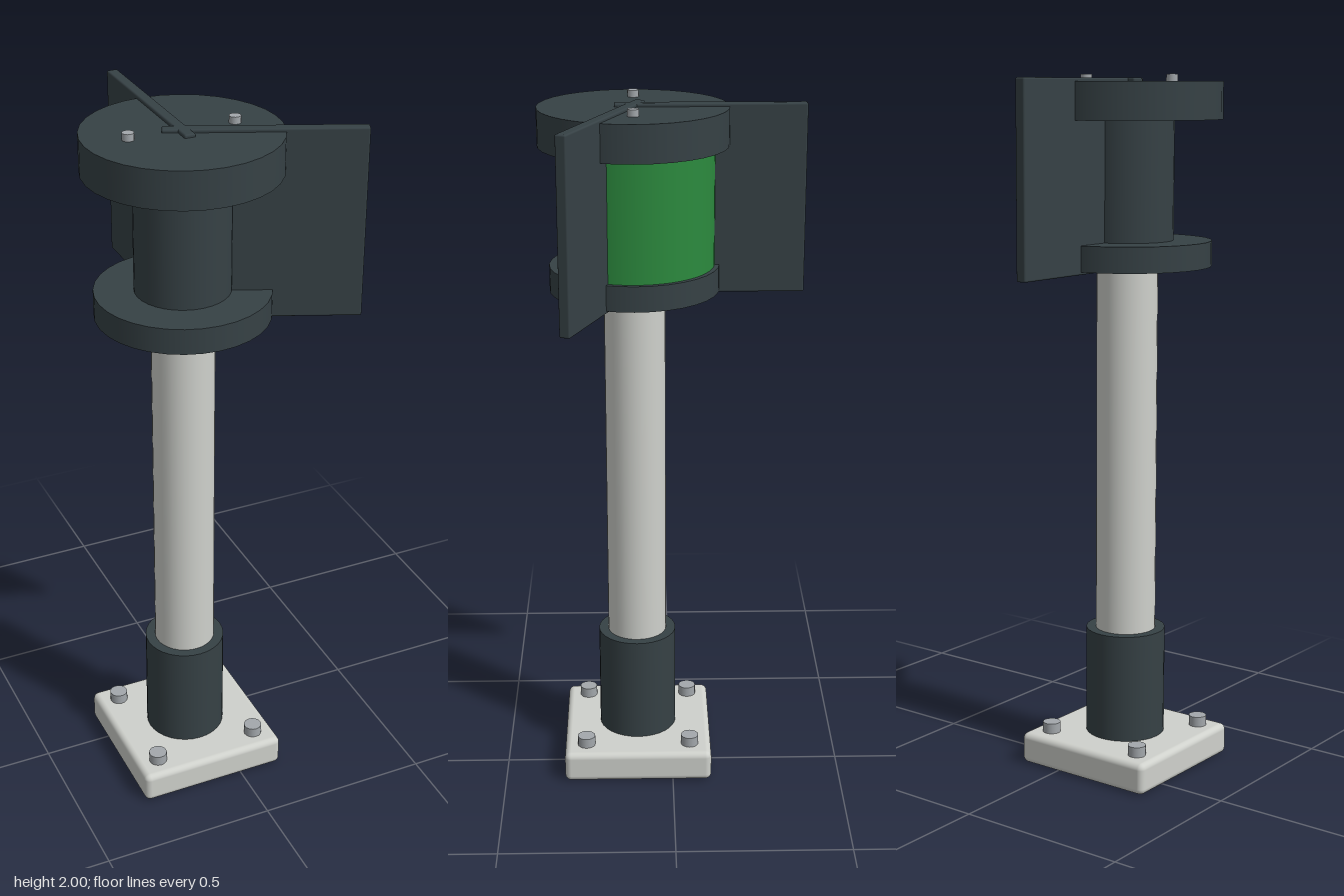
import * as THREE from 'three';
import { RoundedBoxGeometry } from 'three/addons/geometries/RoundedBoxGeometry.js';

const paint = (color) => new THREE.MeshStandardMaterial({ color });

export function createModel() {
  const model = new THREE.Group();
  model.name = 'signalPost';
  // The post axis sits off centre because the fins reach to one side
  const body = new THREE.Group();
  body.name = 'body';
  body.position.set(-0.09, 0, 0.104);
  model.add(body);

  const dark = paint(0x364145);
  const pale = paint(0xcfd1cc);
  const metal = paint(0xa3a8ac);
  const green = paint(0x2c8a3e);

  const add = (name, geometry, material, x, y, z) => {
    const mesh = new THREE.Mesh(geometry, material);
    mesh.name = name;
    mesh.position.set(x, y, z);
    body.add(mesh);
    return mesh;
  };
  // Upright cylinder between two heights
  const drum = (name, r, y0, y1, material, x = 0, z = 0, sides = 32) =>
    add(name, new THREE.CylinderGeometry(r, r, y1 - y0, sides), material, x, (y0 + y1) / 2, z);

  // Foot plate with four bolts
  add('basePlate', new RoundedBoxGeometry(0.438, 0.092, 0.438, 3, 0.018), pale, 0, 0.046, 0);
  for (const x of [-0.155, 0.155])
    for (const z of [-0.155, 0.155]) drum('baseBolt', 0.026, 0.08, 0.122, metal, x, z, 16);

  // Post and its sleeve
  drum('sleeve', 0.115, 0.09, 0.408, dark);
  drum('post', 0.087, 0.4, 1.5, pale);

  // Lantern head
  drum('lowerDisc', 0.238, 1.47, 1.542, dark);
  drum('core', 0.13, 1.53, 1.89, dark);
  drum('topDisc', 0.264, 1.877, 1.981, dark);

  // Green lens filling the sector between the fins
  const lens = new THREE.CylinderGeometry(
    0.224, 0.224, 0.345, 24, 1, true, THREE.MathUtils.degToRad(67.5), THREE.MathUtils.degToRad(112.5));
  add('lens', lens, green, 0, 1.71, 0).material.side = THREE.DoubleSide;

  // Two shading fins crossing near the axis
  for (const degrees of [-22.5, 90]) {
    const geometry = new RoundedBoxGeometry(0.527, 0.528, 0.031, 2, 0.005);
    geometry.translate(0.2115, 0, 0);
    add('fin', geometry, dark, 0, 1.726, 0).rotation.y = THREE.MathUtils.degToRad(degrees);
  }

  // Bolts on the top disc
  for (const x of [-0.147, 0.147]) drum('topBolt', 0.016, 1.97, 2, metal, x, 0, 16);

  return model;
}
